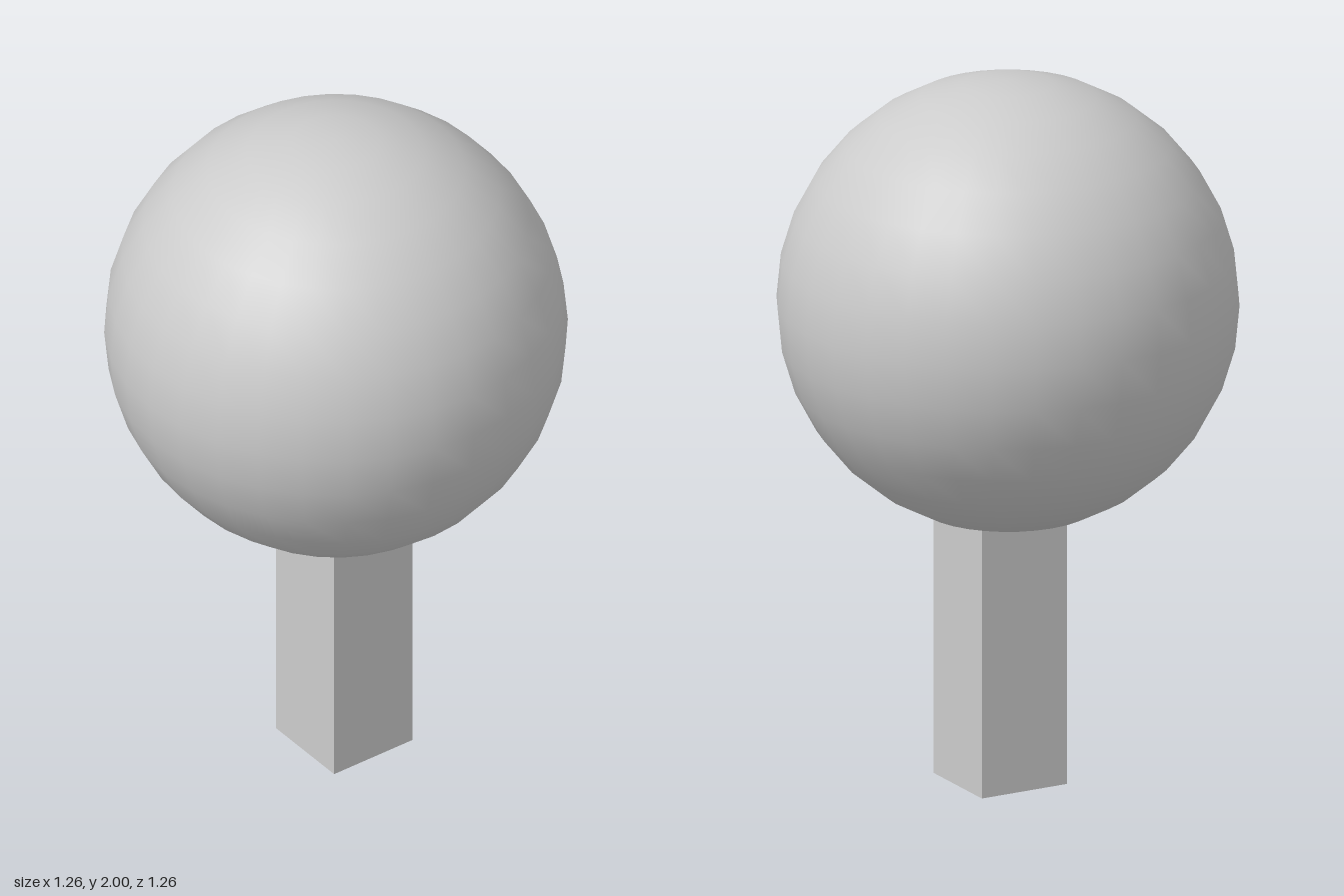
import * as THREE from 'three';

export function createModel() {
  const model = new THREE.Group();
  const material = new THREE.MeshStandardMaterial({ color: 0xcccccc });

  const addPart = (name, geometry, x, y, z) => {
    const mesh = new THREE.Mesh(geometry, material);
    mesh.name = name;
    mesh.position.set(x, y, z);
    model.add(mesh);
  };

  // Round crown, smooth shaded
  const radius = 0.632;
  addPart('crown', new THREE.SphereGeometry(radius, 32, 16), 0, 2 - radius, 0);

  // Square trunk, slightly off centre, its top buried in the crown
  const trunkHeight = 0.95;
  addPart('trunk', new THREE.BoxGeometry(0.266, trunkHeight, 0.266), 0.013, trunkHeight / 2, 0.02);

  return model;
}
